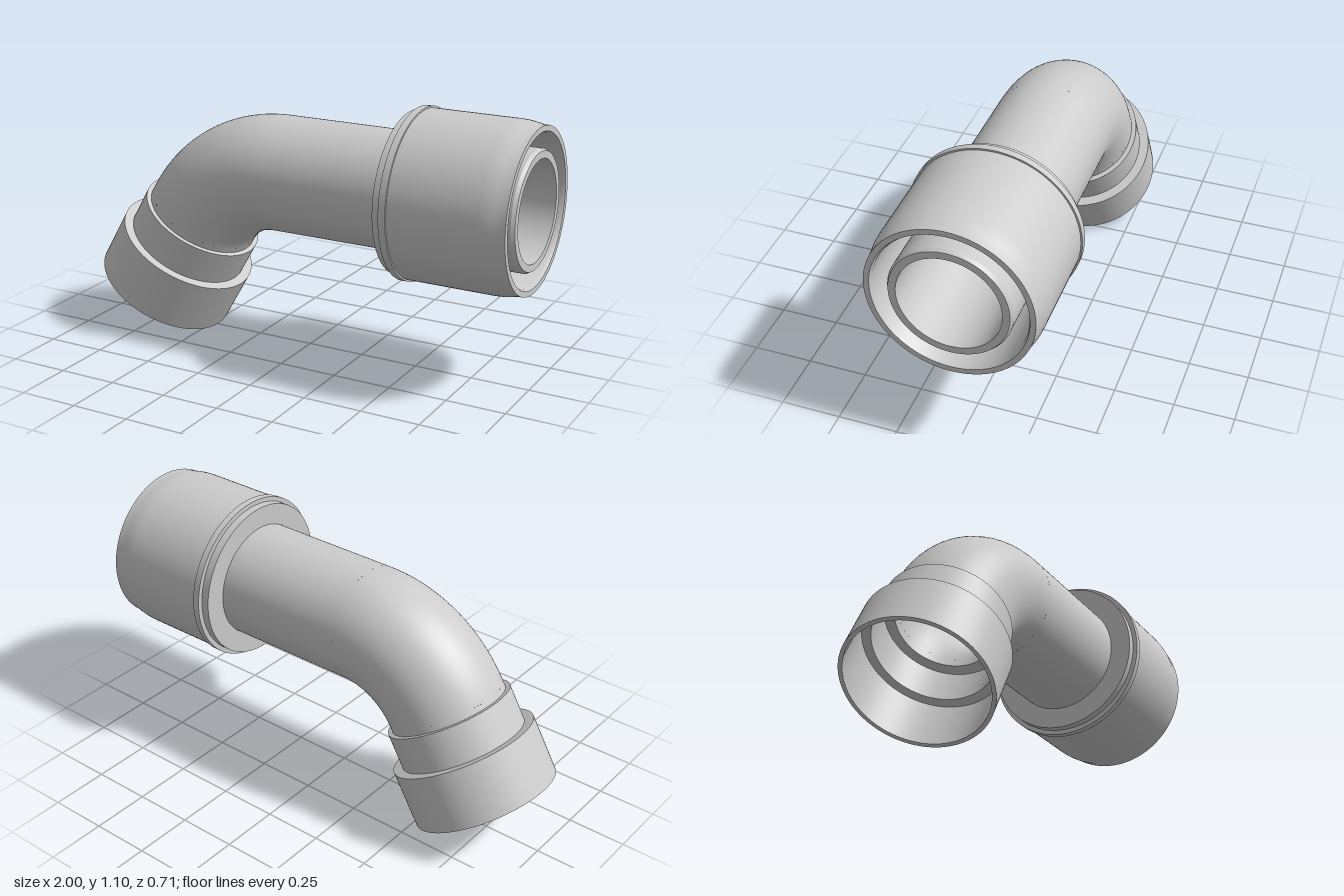
import * as THREE from 'three';
import { toCreasedNormals } from 'three/addons/utils/BufferGeometryUtils.js';

const AXIS_Y = 0.75;      // height of the straight pipe's axis
const BEND_X = -0.13;     // where the bend starts
const BEND_R = 0.456;     // bend radius at the centre line
const BEND = Math.PI / 3; // 60 degree elbow
const OUTER = 0.245, BORE = 0.207;

const grey = new THREE.MeshStandardMaterial({ color: 0xcccccc });
const greyInside = new THREE.MeshStandardMaterial({ color: 0xcccccc, side: THREE.BackSide });

// Turned part from [radius, distance along axis] pairs, with sharp edges kept
function turned(name, profile) {
  const points = profile.map(([r, y]) => new THREE.Vector2(r, y));
  const geometry = toCreasedNormals(new THREE.LatheGeometry(points, 96), 0.45);
  const mesh = new THREE.Mesh(geometry, grey);
  mesh.name = name;
  return mesh;
}

// 60 degree piece of ring about the bend centre
function elbow(name, radius, material) {
  const mesh = new THREE.Mesh(new THREE.TorusGeometry(BEND_R, radius, 72, 48, BEND), material);
  mesh.name = name;
  mesh.position.set(BEND_X, AXIS_Y - BEND_R, 0);
  mesh.rotation.z = Math.PI / 2;
  return mesh;
}

export function createModel() {
  const model = new THREE.Group();
  model.name = 'pipeElbow';

  // Straight run along x: pipe with chamfered mouth, and the sleeve around it
  const run = new THREE.Group();
  run.name = 'straightRun';
  run.position.y = AXIS_Y;
  run.rotation.z = -Math.PI / 2;
  run.add(turned('straightPipe', [
    [OUTER, BEND_X], [OUTER, 0.985], [0.237, 1], [BORE, 1], [BORE, BEND_X],
  ]));
  run.add(turned('couplingSleeve', [
    [OUTER, 0.455], [0.335, 0.455], [0.335, 0.49], [0.355, 0.49], [0.355, 0.52],
    [0.348, 0.52], [0.348, 0.89], [0.346, 0.92], [0.341, 0.95], [0.336, 0.975],
    [0.335, 1], [0.312, 1], [0.305, 0.985], [0.305, 0.56], [OUTER, 0.56],
  ]));
  model.add(run);

  // Bend, outside and bore
  model.add(elbow('bendOuter', OUTER, grey));
  model.add(elbow('bendBore', BORE, greyInside));

  // Stepped socket at the lower end
  const socket = turned('steppedSocket', [
    [OUTER, 0], [OUTER, 0.024], [0.265, 0.024], [0.265, 0.18], [0.305, 0.18],
    [0.305, 0.424], [0.288, 0.424], [0.288, 0.2], [0.25, 0.2], [0.25, 0.04],
    [BORE, 0.04], [BORE, 0],
  ]);
  socket.position.set(
    BEND_X - BEND_R * Math.sin(BEND),
    AXIS_Y - BEND_R * (1 - Math.cos(BEND)), 0);
  socket.rotation.z = Math.PI / 2 + BEND;
  model.add(socket);

  return model;
}
